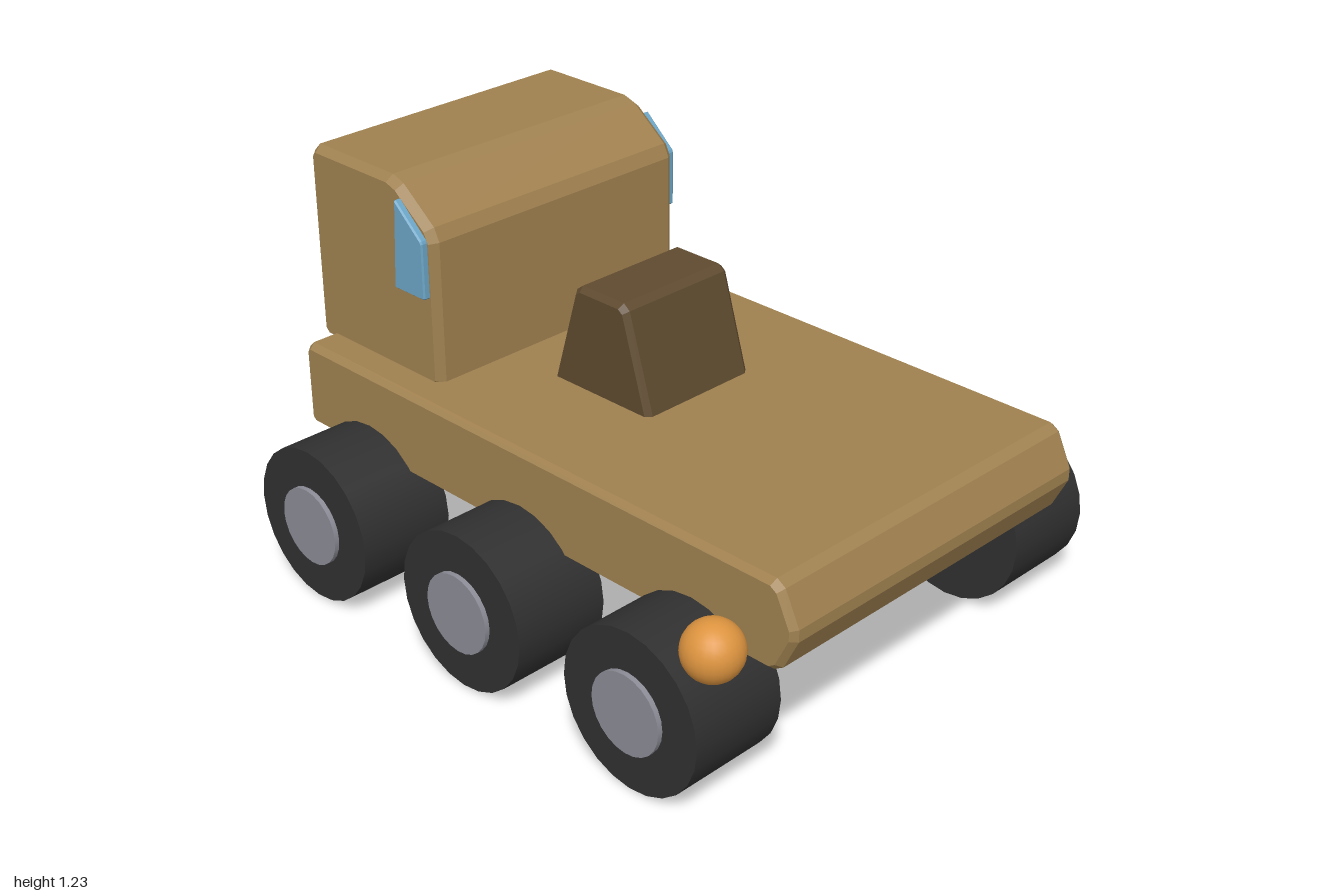
import * as THREE from 'three';

const material = (name, color) => {
  const m = new THREE.MeshStandardMaterial({ color });
  m.name = name;
  return m;
};

// Extrudes an x-y outline symmetrically about z = 0, with every edge chamfered.
function chamferedBlock(points, depth, bevel) {
  const corners = points.map(([x, y]) => new THREE.Vector2(x, y));
  const outline = [];
  corners.forEach((p, i) => {
    const prev = corners[(i + corners.length - 1) % corners.length];
    const next = corners[(i + 1) % corners.length];
    for (const q of [prev, next]) {
      outline.push(p.clone().add(q.clone().sub(p).setLength(bevel)));
    }
  });
  const geometry = new THREE.ExtrudeGeometry(new THREE.Shape(outline), {
    depth: depth - 2 * bevel, bevelEnabled: true, bevelSegments: 1,
    bevelSize: bevel * 0.8, bevelThickness: bevel, bevelOffset: -bevel * 0.8,
  });
  return geometry.translate(0, 0, bevel - depth / 2);
}

export function createModel() {
  const tan = material('tan paint', 0xa08150);
  const brown = material('dark brown', 0x5e4a2f);
  const rubber = material('tyre rubber', 0x303030);
  const steel = material('hub grey', 0x8c8c97);
  const glass = material('window blue', 0x6ca5c6);
  const orange = material('lamp orange', 0xdd943f);

  const model = new THREE.Group();
  model.name = 'sixWheeledTruck';
  const add = (name, geometry, mat, x = 0, y = 0, z = 0) => {
    const mesh = new THREE.Mesh(geometry, mat);
    mesh.name = name;
    mesh.position.set(x, y, z);
    model.add(mesh);
    return mesh;
  };

  // Flat deck with a pointed nose
  add('deck', chamferedBlock([
    [-0.95, 0.383], [0.93, 0.383], [0.995, 0.515], [0.93, 0.65], [-0.95, 0.65],
  ], 1.16, 0.02), tan);

  // Cab with a sloping upper edge
  add('cab', chamferedBlock([
    [-1, 0.62], [-0.457, 0.62], [-0.457, 1.105], [-0.62, 1.232], [-1, 1.232],
  ], 0.95, 0.025), tan);

  // Tapered pedestal on the deck
  add('pedestal', chamferedBlock([
    [-0.282, 0.62], [0.12, 0.62], [0.018, 0.96], [-0.18, 0.96],
  ], 0.41, 0.018), brown);

  // Side windows, standing slightly proud of the cab
  const windowGeometry = chamferedBlock([
    [-0.61, 0.91], [-0.48, 0.91], [-0.48, 1.085], [-0.592, 1.185],
  ], 0.03, 0.005);
  // Wheels and hubs, mirrored on both sides
  const tyreGeometry = new THREE.CylinderGeometry(0.239, 0.239, 0.308, 24).rotateX(Math.PI / 2);
  const hubGeometry = new THREE.CylinderGeometry(0.12, 0.12, 0.04, 24).rotateX(Math.PI / 2);
  for (const [side, s] of [['front', 1], ['back', -1]]) {
    add(side + 'Window', windowGeometry, glass, 0, 0, s * 0.481);
    [-0.66, -0.01, 0.64].forEach((x, i) => {
      add(`${side}Tyre${i + 1}`, tyreGeometry, rubber, x, 0.241, s * 0.651);
      add(`${side}Hub${i + 1}`, hubGeometry, steel, x, 0.241, s * 0.8);
    });
  }

  // Round lamp beside the nose
  add('lamp', new THREE.SphereGeometry(0.083, 24, 16), orange, 0.912, 0.55, 0.787);

  // The body sits slightly behind centre to balance the lamp
  model.children.forEach((part) => { part.position.z -= 0.025; });
  return model;
}
